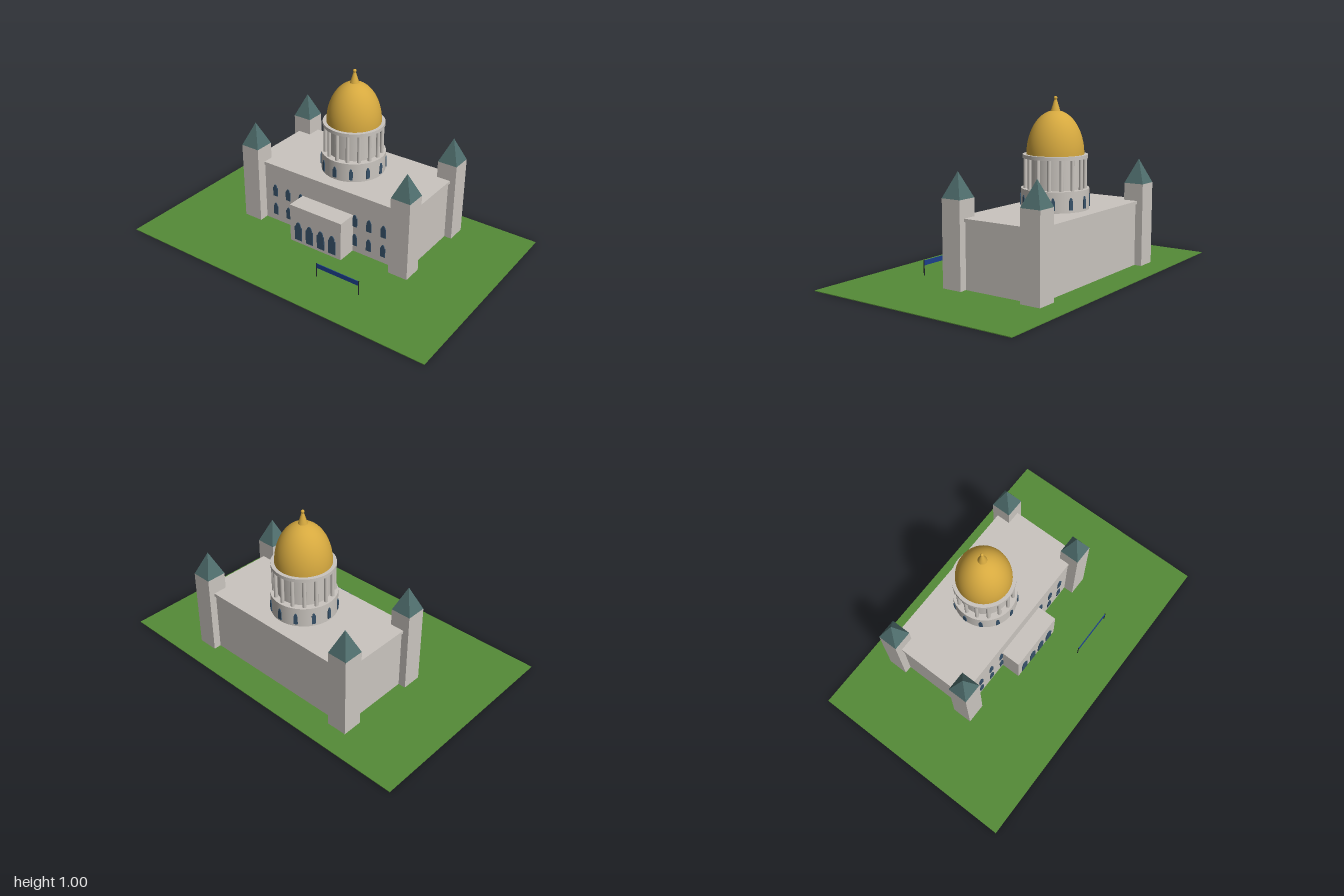
import * as THREE from 'three';

export function createModel() {
  const model = new THREE.Group();
  const mat = (name, color, extra = {}) => {
    const m = new THREE.MeshStandardMaterial({ color, ...extra });
    m.name = name;
    return m;
  };
  const stone = mat('stone', 0xcac5bf);
  const grass = mat('grass', 0x558b37);
  const gold = mat('gold', 0xd6a93f);
  const slate = mat('slate', 0x4f6e6d, { flatShading: true });
  const glass = mat('glass', 0x37526a);
  const blue = mat('bannerBlue', 0x1c3f8c);
  const dark = mat('darkMetal', 0x22262c);

  const add = (name, geo, material, x = 0, y = 0, z = 0, parent = model) => {
    const mesh = new THREE.Mesh(geo, material);
    mesh.name = name;
    mesh.position.set(x, y, z);
    parent.add(mesh);
    return mesh;
  };
  // Box given by its extents
  const block = (name, material, x0, x1, y0, y1, z0, z1) =>
    add(name, new THREE.BoxGeometry(x1 - x0, y1 - y0, z1 - z0), material,
      (x0 + x1) / 2, (y0 + y1) / 2, (z0 + z1) / 2);

  // Thin window plate with a stepped, arched head; origin at the sill
  const windowPlate = (w, h) => {
    const s = new THREE.Shape();
    const half = w / 2, spring = h * 0.74, r = half * 0.72;
    s.moveTo(-half, 0);
    s.lineTo(half, 0);
    s.lineTo(half, spring);
    for (let i = 0; i <= 6; i++) {
      const a = (i / 6) * Math.PI;
      s.lineTo(Math.cos(a) * r, spring + Math.sin(a) * (h - spring));
    }
    s.lineTo(-half, spring);
    s.closePath();
    return new THREE.ExtrudeGeometry(s, { depth: 0.006, bevelEnabled: false });
  };

  // Lawn, main block, roof slab and entrance block
  block('lawn', grass, -1, 1, 0, 0.004, -0.64, 0.64);
  block('mainBlock', stone, -0.535, 0.535, 0.004, 0.37, -0.455, 0.06);
  block('roofSlab', stone, -0.545, 0.545, 0.367, 0.385, -0.465, 0.065);
  block('entranceBlock', stone, -0.18, 0.18, 0.004, 0.245, 0.05, 0.18);

  // Corner towers with pyramid roofs
  for (const x of [-0.52, 0.52]) {
    for (const z of [-0.44, 0.06]) {
      block('tower', stone, x - 0.06, x + 0.06, 0.004, 0.485, z - 0.06, z + 0.06);
      const cone = new THREE.ConeGeometry(0.06 * Math.SQRT2, 0.14, 4).rotateY(Math.PI / 4);
      add('towerRoof', cone, slate, x, 0.555, z);
    }
  }

  // Front windows, two storeys either side of the entrance
  const smallWindow = windowPlate(0.032, 0.078);
  for (const side of [-1, 1]) {
    for (const x of [0.193, 0.289, 0.385]) {
      for (const y of [0.046, 0.174]) add('frontWindow', smallWindow, glass, side * x, y, 0.059);
    }
  }
  // Tall entrance arches
  const entranceArch = windowPlate(0.05, 0.12);
  for (const x of [-0.12, -0.04, 0.04, 0.12]) add('entranceArch', entranceArch, glass, x, 0.025, 0.179);

  // Round tower carrying the dome
  const rotunda = new THREE.Group();
  rotunda.name = 'rotunda';
  rotunda.position.z = -0.2;
  model.add(rotunda);
  const ring = (name, r, y0, y1) =>
    add(name, new THREE.CylinderGeometry(r, r, y1 - y0, 48), stone, 0, (y0 + y1) / 2, 0, rotunda);
  ring('lowerDrum', 0.188, 0.38, 0.5);
  ring('upperDrum', 0.15, 0.5, 0.67);
  ring('drumCornice', 0.18, 0.665, 0.685);

  // Drum windows
  const drumWindow = windowPlate(0.022, 0.068);
  for (let i = 0; i < 12; i++) {
    const a = (i / 12) * Math.PI * 2;
    const w = add('drumWindow', drumWindow, glass, Math.sin(a) * 0.187, 0.4, Math.cos(a) * 0.187, rotunda);
    w.rotation.y = a;
  }
  // Colonnade
  const column = new THREE.CylinderGeometry(0.011, 0.011, 0.166, 10);
  for (let i = 0; i < 16; i++) {
    const a = (i / 16) * Math.PI * 2;
    add('column', column, stone, Math.sin(a) * 0.166, 0.583, Math.cos(a) * 0.166, rotunda);
  }

  // Golden dome, spire and ball
  const domeProfile = [];
  for (let i = 0; i <= 24; i++) {
    const a = (i / 24) * Math.PI / 2;
    domeProfile.push(new THREE.Vector2(Math.max(Math.cos(a) * 0.159, 0.0001), 0.684 + Math.sin(a) * 0.24));
  }
  add('dome', new THREE.LatheGeometry(domeProfile, 48), gold, 0, 0, 0, rotunda);
  add('spire', new THREE.CylinderGeometry(0.005, 0.027, 0.07, 20), gold, 0, 0.953, 0, rotunda);
  add('spireBall', new THREE.SphereGeometry(0.01, 16, 12), gold, 0, 0.99, 0, rotunda);

  // Banner on two posts on the lawn
  block('banner', blue, 0.158, 0.442, 0.062, 0.09, 0.378, 0.382);
  for (const x of [0.16, 0.44]) {
    add('bannerPost', new THREE.CylinderGeometry(0.003, 0.003, 0.09, 8), dark, x, 0.047, 0.38);
  }
  return model;
}
